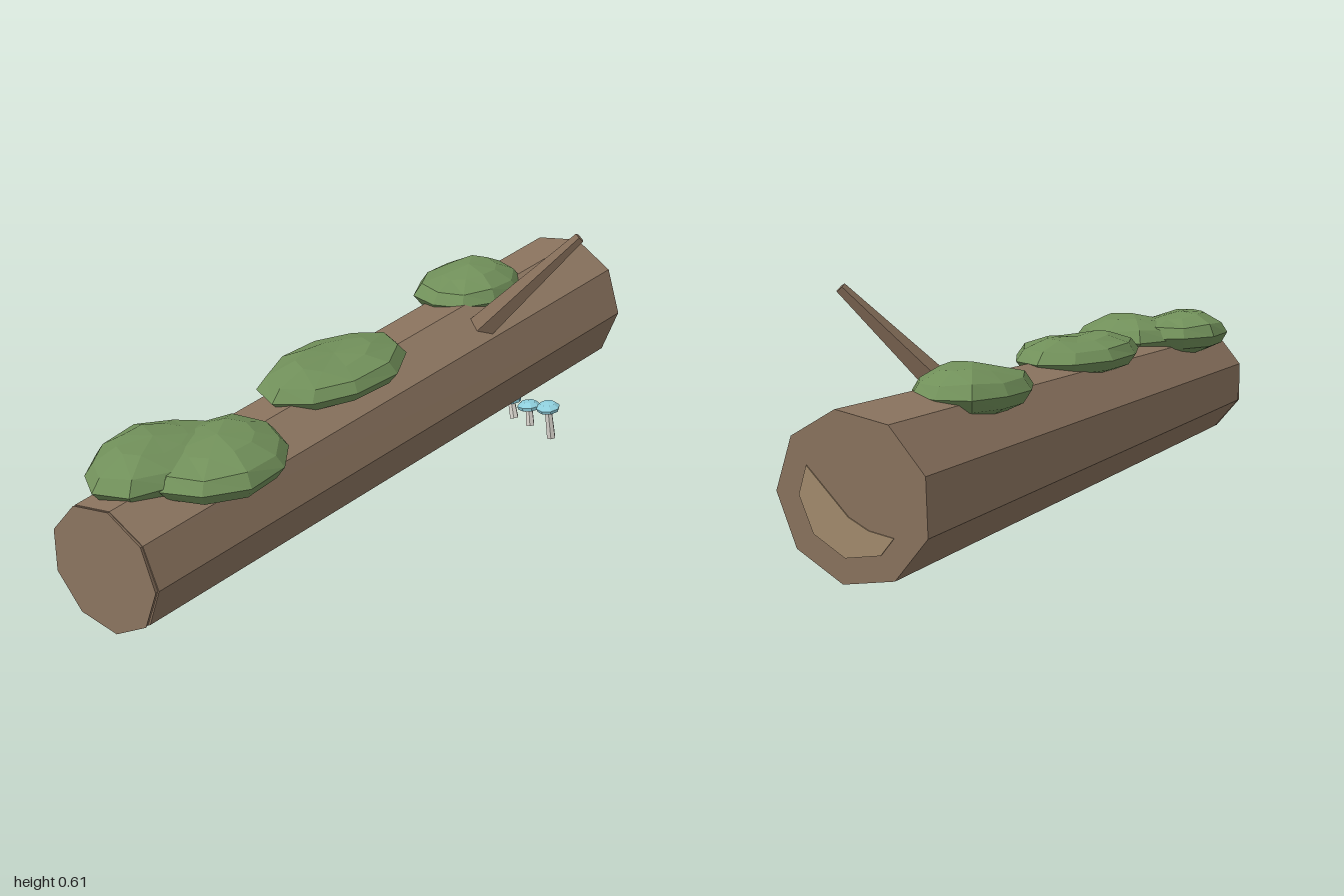
import * as THREE from 'three';

const mat = (color) => new THREE.MeshStandardMaterial({ color, flatShading: true });
const BARK = mat(0x8b745f), BRANCH = mat(0x836c58), WOOD = mat(0xa58c6e);
const MOSS = mat(0x71905a), CAP = mat(0x8fcfdd), STEM = mat(0xd6d2cb);
const AXIS_Y = 0.195, AXIS_Z = -0.066;

function add(parent, name, geometry, material) {
  const mesh = new THREE.Mesh(geometry, material);
  mesh.name = name;
  parent.add(mesh);
  return mesh;
}

// Move every vertex by a rule
function deform(geometry, rule) {
  const pos = geometry.attributes.position, v = new THREE.Vector3();
  for (let i = 0; i < pos.count; i++) {
    v.fromBufferAttribute(pos, i);
    rule(v);
    pos.setXYZ(i, v.x, v.y, v.z);
  }
  geometry.computeVertexNormals();
  return geometry;
}

// The sawn right end leans a little
const rightEnd = (y, z) => 0.987 + 0.06 * (y - AXIS_Y) - 0.02 * (z - AXIS_Z);

// Tapered stick between two points
function stick(parent, name, from, to, r0, r1, sides, material) {
  const a = new THREE.Vector3(...from), b = new THREE.Vector3(...to);
  const dir = b.clone().sub(a);
  const mesh = add(parent, name, new THREE.CylinderGeometry(r1, r0, dir.length(), sides), material);
  mesh.position.copy(a).add(b).multiplyScalar(0.5);
  mesh.quaternion.setFromUnitVectors(new THREE.Vector3(0, 1, 0), dir.normalize());
  return mesh;
}

// Flattened, slightly lumpy cushion
function mossPatch(parent, [x, y, z], [rx, ry, rz], seed) {
  const geo = deform(new THREE.SphereGeometry(1, 10, 6), (v) => {
    const k = 1 + 0.06 * Math.sin(3.1 * v.x + seed) * Math.cos(2.7 * v.z + 2 * seed);
    const bump = 0.12 * Math.sin(4 * v.x + 3 * v.z + seed * 3) * Math.max(v.y, 0);
    v.set(v.x * k * rx, (v.y + bump) * ry, v.z * k * rz);
  });
  add(parent, 'mossPatch', geo, MOSS).position.set(x, y, z);
}

function mushroom(parent, foot, top, radius) {
  const g = new THREE.Group();
  g.name = 'mushroom';
  parent.add(g);
  const stem = stick(g, 'mushroomStem', foot, top, 0.013, 0.0105, 6, STEM);
  // Domed cap with a short rim and a flat underside
  const profile = [[0, -0.1], [0.9, -0.24], [1, 0.06], [0.62, 0.4], [0, 0.5]]
    .map(([r, h]) => new THREE.Vector2(r * radius, h * radius));
  const cap = add(g, 'mushroomCap', new THREE.LatheGeometry(profile, 8), CAP);
  cap.position.set(...top);
  cap.quaternion.copy(stem.quaternion);
}

export function createModel() {
  const model = new THREE.Group();
  model.name = 'fallenLog';

  // Nine-sided tapered trunk
  const trunk = new THREE.CylinderGeometry(0.197, 0.163, 1.97, 9);
  trunk.rotateZ(-Math.PI / 2).translate(0, AXIS_Y, AXIS_Z);
  deform(trunk, (v) => {
    v.x = v.x > 0 ? rightEnd(v.y, v.z) : -0.988 - 0.03 * (v.y - AXIS_Y);
  });
  add(model, 'trunk', trunk, BARK);

  // Thin sawn face on the narrow end
  const sawn = new THREE.CylinderGeometry(0.159, 0.163, 0.012, 9);
  sawn.rotateZ(-Math.PI / 2).rotateX(0).translate(-0.993, AXIS_Y, AXIS_Z);
  add(model, 'sawnEnd', sawn, BARK);

  // Bare wood showing as a crescent on the wide end
  const crescent = new THREE.Shape([
    [0.047, 0.26], [0.07, 0.193], [0.037, 0.108], [-0.042, 0.062],
    [-0.133, 0.078], [-0.168, 0.12], [-0.105, 0.13], [-0.055, 0.155],
  ].map(([z, y]) => new THREE.Vector2(-z, y)));
  const wood = new THREE.ExtrudeGeometry(crescent, { depth: 0.006, bevelEnabled: false });
  wood.rotateY(Math.PI / 2);
  deform(wood, (v) => { v.x += rightEnd(v.y, v.z) - 0.003; });
  add(model, 'bareWood', wood, WOOD);

  // Broken branch
  stick(model, 'branch', [0.36, 0.28, -0.012], [0.546, 0.597, 0.238], 0.043, 0.015, 5, BRANCH);

  // Moss along the top
  mossPatch(model, [-0.77, 0.368, -0.11], [0.2, 0.062, 0.135], 1.0);
  mossPatch(model, [-0.67, 0.362, 0.0], [0.2, 0.062, 0.16], 2.3);
  mossPatch(model, [-0.142, 0.373, -0.07], [0.245, 0.056, 0.143], 3.6);
  mossPatch(model, [0.535, 0.373, -0.113], [0.185, 0.062, 0.137], 4.4);

  // Mushrooms beside the trunk
  mushroom(model, [0.477, 0.01, 0.217], [0.47, 0.104, 0.207], 0.034);
  mushroom(model, [0.507, 0.01, 0.128], [0.512, 0.066, 0.118], 0.034);
  mushroom(model, [0.52, 0.01, 0.065], [0.525, 0.06, 0.05], 0.03);

  return model;
}
